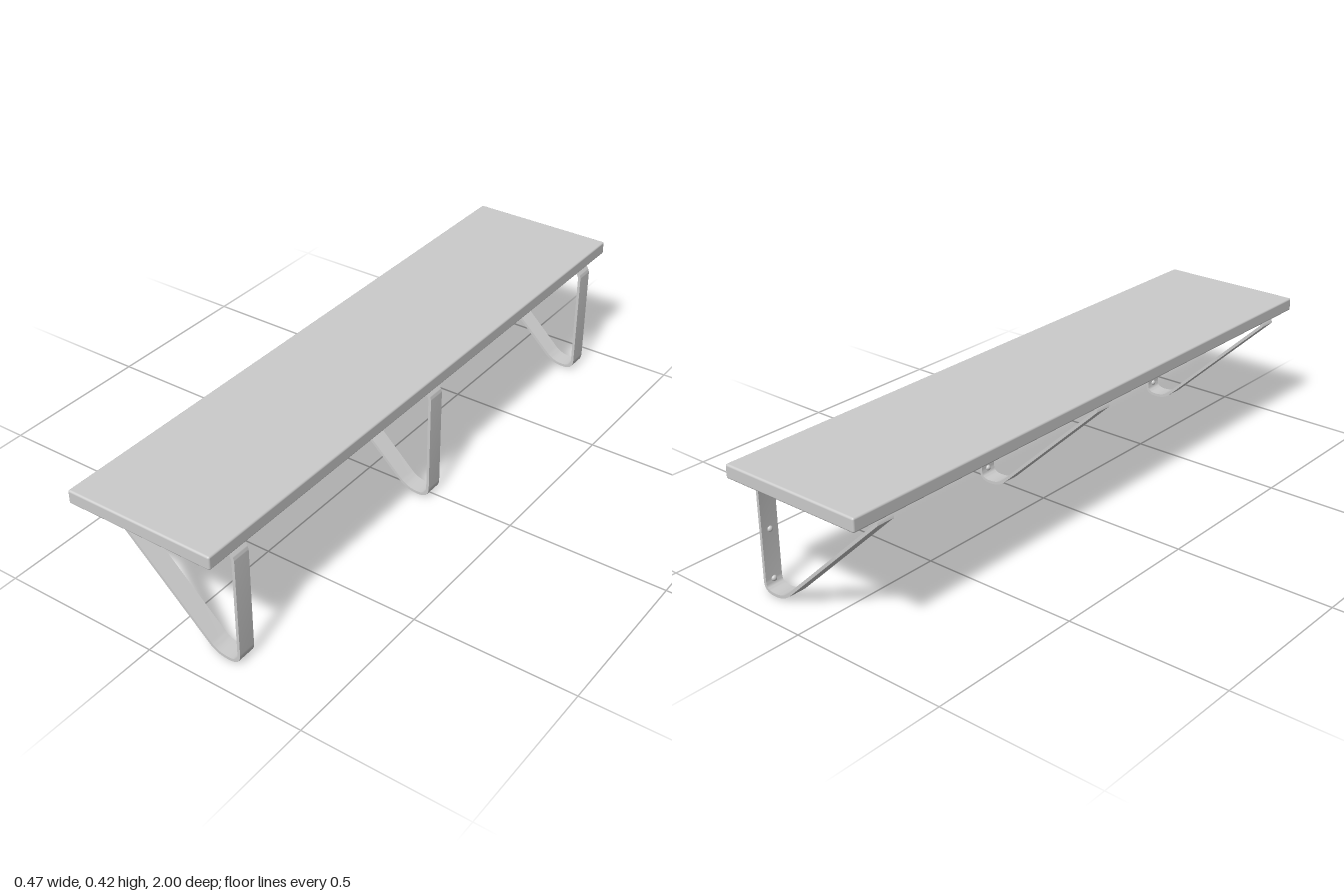
import * as THREE from 'three';
import { RoundedBoxGeometry } from 'three/addons/geometries/RoundedBoxGeometry.js';
import { toCreasedNormals } from 'three/addons/utils/BufferGeometryUtils.js';

const material = new THREE.MeshStandardMaterial({ color: 0xcccccc });
const STRAP = 0.009; // strap thickness
const WIDTH = 0.057; // strap width

// Move a closed counter-clockwise outline inwards by d, with mitred corners
function inset(points, d) {
  const n = points.length;
  return points.map((p, i) => {
    const a = p.clone().sub(points[(i + n - 1) % n]).normalize();
    const b = points[(i + 1) % n].clone().sub(p).normalize();
    const na = new THREE.Vector2(-a.y, a.x);
    const nb = new THREE.Vector2(-b.y, b.x);
    const k = d / (1 + na.dot(nb));
    return p.clone().add(na.add(nb).multiplyScalar(k));
  });
}

// Bent flat strap: diagonal brace, wall bar and top bar in one loop
function bracketGeometry() {
  const path = new THREE.Path();
  path.moveTo(-0.223, 0.359);
  path.lineTo(0.13, 0.024);
  path.bezierCurveTo(0.149, 0.006, 0.17, 0, 0.195, 0);
  path.bezierCurveTo(0.222, 0, 0.234, 0.012, 0.234, 0.036);
  path.lineTo(0.234, 0.344);
  path.absarc(0.199, 0.344, 0.035, 0, Math.PI / 2, false);
  path.lineTo(-0.207, 0.379);
  path.lineTo(-0.215, 0.376);
  path.lineTo(-0.22, 0.37);
  const outer = path.getPoints(8).filter((p, i, all) => i === 0 || p.distanceTo(all[i - 1]) > 1e-5);

  const shape = new THREE.Shape(outer);
  shape.holes.push(new THREE.Path(inset(outer, STRAP).reverse()));
  const geometry = new THREE.ExtrudeGeometry(shape, { depth: WIDTH, bevelEnabled: false });
  geometry.translate(0, 0, -WIDTH / 2);
  return toCreasedNormals(geometry, 0.5);
}

export function createModel() {
  const model = new THREE.Group();
  model.name = 'wallShelf';

  const add = (parent, name, geometry, x, y, z) => {
    const mesh = new THREE.Mesh(geometry, material);
    mesh.name = name;
    mesh.position.set(x, y, z);
    parent.add(mesh);
  };

  // Shelf board with softened edges
  add(model, 'shelfBoard', new RoundedBoxGeometry(0.47, 0.042, 2, 3, 0.006), 0, 0.4, 0);

  // Domed screw head facing -x
  const screw = new THREE.SphereGeometry(0.009, 16, 8, 0, Math.PI * 2, 0, Math.PI / 2);
  screw.scale(1, 0.85, 1).rotateZ(Math.PI / 2);

  // Three brackets, each with three screws in its wall bar
  const strap = bracketGeometry();
  for (const z of [-0.88, 0, 0.88]) {
    const bracket = new THREE.Group();
    bracket.name = 'bracket';
    bracket.position.z = z;
    add(bracket, 'bracketStrap', strap, 0, 0, 0);
    for (const y of [0.033, 0.185, 0.337]) {
      add(bracket, 'screwHead', screw, 0.234 - STRAP, y, 0);
    }
    model.add(bracket);
  }
  return model;
}
